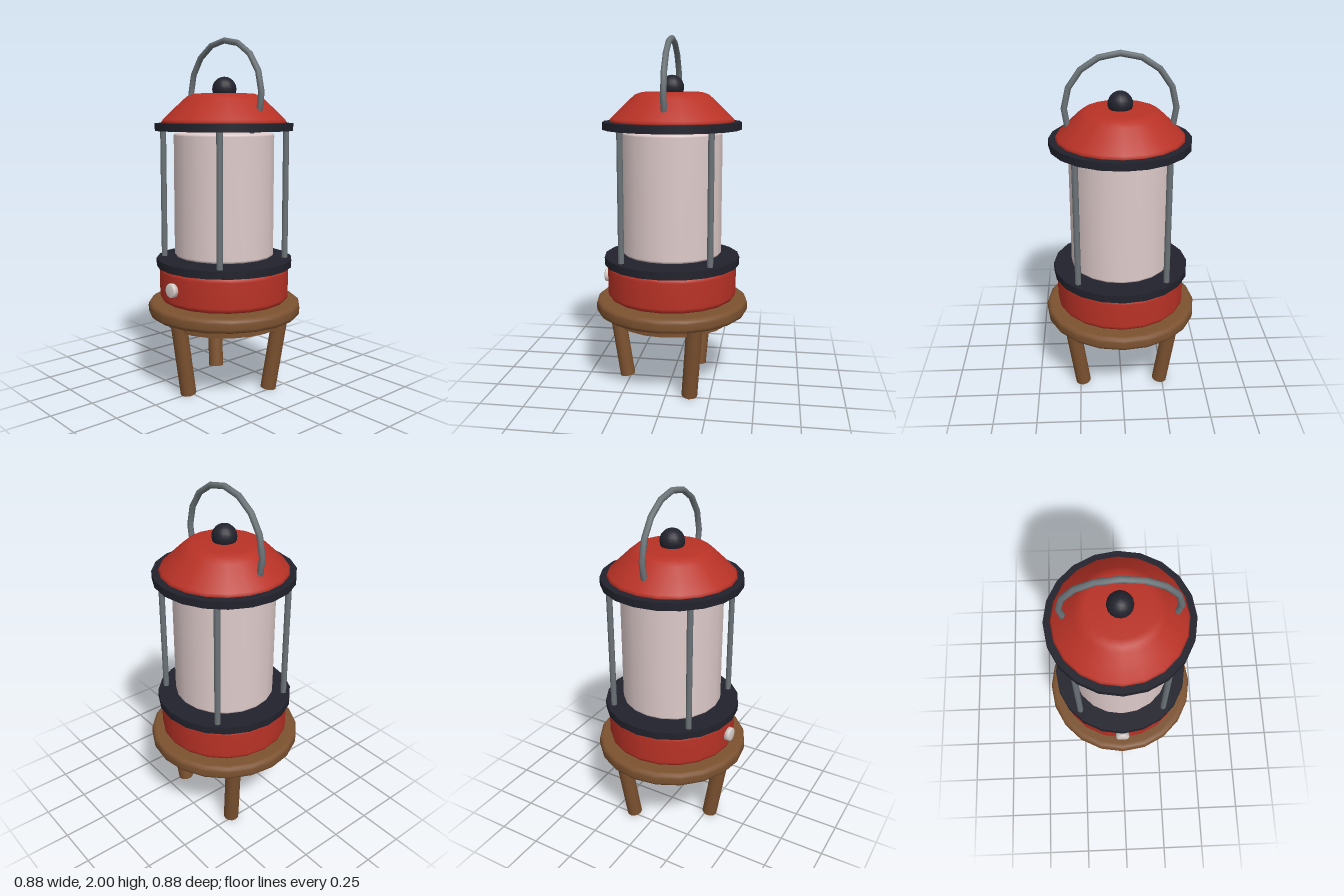
import * as THREE from 'three';

const mat = (name, color) => {
  const m = new THREE.MeshStandardMaterial({ color });
  m.name = name;
  return m;
};
const SIDES = 20;

export function createModel() {
  const wood = mat('wood', 0x7c5230);
  const red = mat('redEnamel', 0xb93226);
  const dark = mat('darkTrim', 0x22222d);
  const metal = mat('metal', 0x6c7478);
  const frosted = mat('frostedGlass', 0xdecaca);
  const pale = mat('paleButton', 0xdcd2ce);

  const model = new THREE.Group();
  model.name = 'lanternOnStool';
  const add = (name, geometry, material, parent = model) => {
    const mesh = new THREE.Mesh(geometry, material);
    mesh.name = name;
    parent.add(mesh);
    return mesh;
  };
  const group = (name) => {
    const g = new THREE.Group();
    g.name = name;
    model.add(g);
    return g;
  };
  const lathe = (points) =>
    new THREE.LatheGeometry(points.map(([x, y]) => new THREE.Vector2(x, y)), SIDES);

  // Solid drum with rounded rims, as a lathe profile from bottom to top
  const drum = (r, y0, y1, b) => {
    const pts = [[0, y0], [r - b - 0.01, y0]];
    for (const [cy, start] of [[y0 + b, -90], [y1 - b, 0]]) {
      for (let i = 0; i <= 3; i++) {
        const a = THREE.MathUtils.degToRad(start + i * 30);
        pts.push([r - b + b * Math.cos(a), cy + b * Math.sin(a)]);
      }
    }
    pts.push([r - b - 0.01, y1], [0, y1]);
    return lathe(pts);
  };
  const disc = (r, y0, y1) =>
    new THREE.CylinderGeometry(r, r, y1 - y0, SIDES).translate(0, (y0 + y1) / 2, 0);

  // Round bar between two points
  const bar = (name, a, b, r, sides, material, parent) => {
    const dir = b.clone().sub(a);
    const mesh = add(name, new THREE.CylinderGeometry(r, r, dir.length(), sides), material, parent);
    mesh.position.copy(a).lerp(b, 0.5);
    mesh.quaternion.setFromUnitVectors(new THREE.Vector3(0, 1, 0), dir.normalize());
  };

  // Stool: seat, under-plate and three legs leaning inward at the foot
  const stool = group('stool');
  add('seat', drum(0.44, 0.435, 0.515, 0.025), wood, stool);
  add('underPlate', disc(0.342, 0.383, 0.425), wood, stool);
  for (let i = 0; i < 3; i++) {
    const a = (i * Math.PI * 2) / 3;
    const at = (r, y) => new THREE.Vector3(Math.sin(a) * r, y, Math.cos(a) * r);
    bar('leg', at(0.27, 0.007), at(0.337, 0.44), 0.045, 12, wood, stool);
  }

  // Lantern base with its front button
  add('lanternBase', drum(0.372, 0.522, 0.725, 0.03), red);
  const button = add('frontButton',
    lathe([[0, 0], [0.04, 0], [0.04, 0.03], [0.034, 0.037], [0, 0.037]]), pale);
  button.rotation.x = Math.PI / 2;
  button.position.set(0, 0.625, 0.36);

  // Dark plates holding the glass
  add('lowerPlate', disc(0.39, 0.72, 0.764), dark);
  add('upperPlate', disc(0.39, 1.488, 1.53), dark);
  add('glass', drum(0.285, 0.778, 1.476, 0.015), frosted);

  // Four upright rods
  const cage = group('cage');
  for (const x of [-0.246, 0.246]) {
    for (const z of [-0.246, 0.246]) {
      bar('rod', new THREE.Vector3(x, 0.75, z), new THREE.Vector3(x, 1.5, z), 0.017, 8, metal, cage);
    }
  }

  // Roof and top knob
  add('roof', lathe([
    [0, 1.53], [0.345, 1.53], [0.354, 1.535], [0.345, 1.55], [0.29, 1.603],
    [0.232, 1.658], [0.205, 1.68], [0.17, 1.692], [0, 1.694],
  ]), red);
  add('topKnob', new THREE.SphereGeometry(0.068, 16, 12).translate(0, 1.718, 0), dark);

  // Carrying handle, with ends running down through the roof
  const dip = THREE.MathUtils.degToRad(42);
  const handle = add('handle', new THREE.TorusGeometry(0.299, 0.017, 8, 12, Math.PI + 2 * dip), metal);
  handle.rotation.z = -dip;
  handle.position.y = 1.684;

  return model;
}
